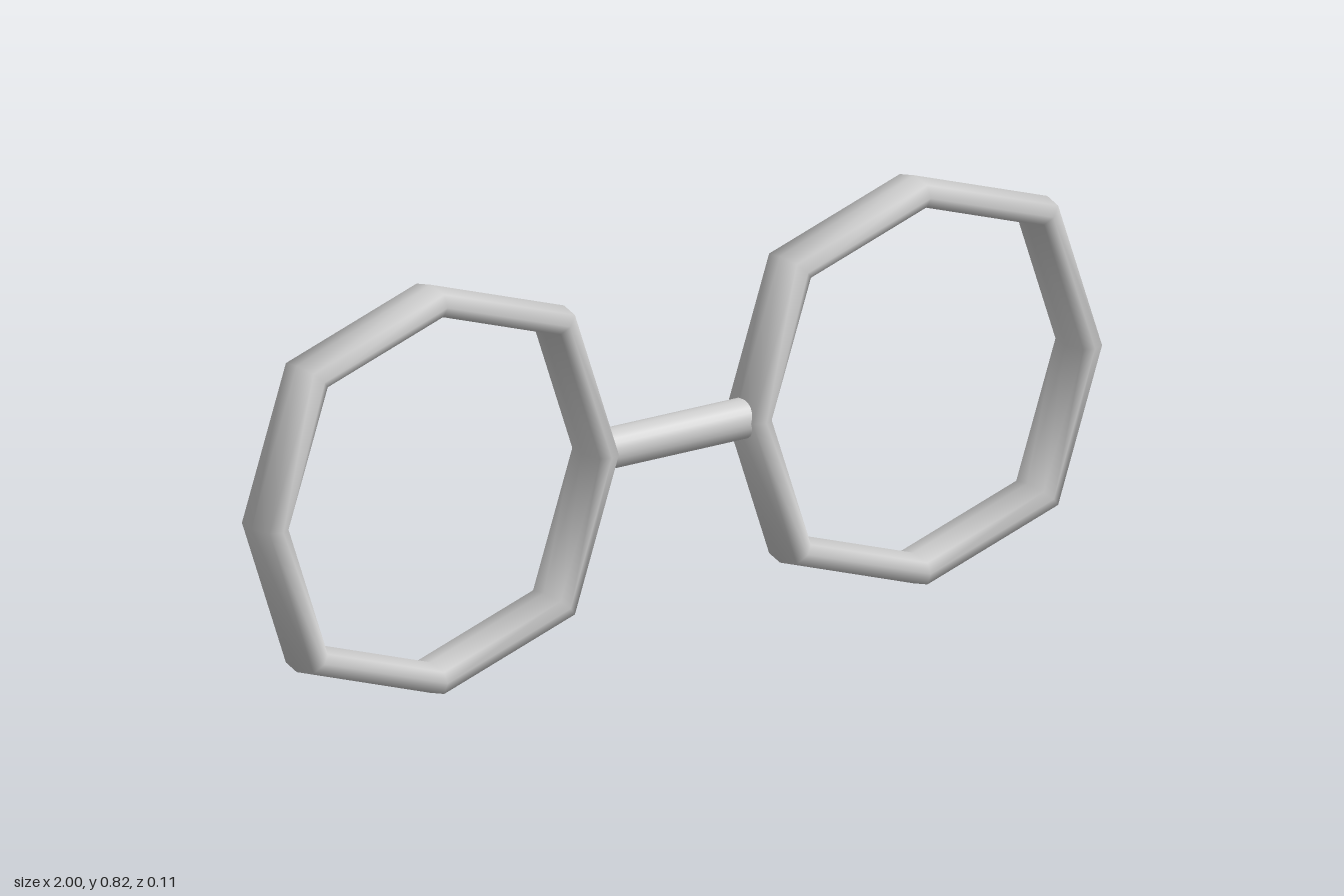
import * as THREE from 'three';

const material = new THREE.MeshStandardMaterial({ color: 0xcccccc });
const CENTER_Y = 0.408;

// Outer corners of the eight-sided rim, and its cross-section as [radial scale, z]
const CORNERS = [
  [0.425, 0], [0.318, 0.306], [0, 0.408], [-0.318, 0.306],
  [-0.425, 0], [-0.318, -0.306], [0, -0.408], [0.318, -0.306],
];
const SECTION = [
  [1, 0], [0.978, 0.044], [0.92, 0.055], [0.872, 0.044],
  [0.85, 0], [0.872, -0.044], [0.92, -0.055], [0.978, -0.044],
];

// Closed loop of cross-sections, smooth shaded
function rimGeometry() {
  const n = CORNERS.length, m = SECTION.length;
  const positions = [], index = [];
  CORNERS.forEach(([x, y], i) => {
    SECTION.forEach(([s, z], j) => {
      positions.push(x * s, y * s, z);
      const i2 = (i + 1) % n, j2 = (j + 1) % m;
      const a = i * m + j, b = i2 * m + j, c = i2 * m + j2, d = i * m + j2;
      index.push(a, b, c, a, c, d);
    });
  });
  const geometry = new THREE.BufferGeometry();
  geometry.setAttribute('position', new THREE.Float32BufferAttribute(positions, 3));
  geometry.setIndex(index);
  geometry.computeVertexNormals();
  return geometry;
}

export function createModel() {
  const group = new THREE.Group();
  group.name = 'spectacles';

  // Two matching rims
  const rim = rimGeometry();
  for (const [name, side] of [['leftRim', 1], ['rightRim', -1]]) {
    const mesh = new THREE.Mesh(rim, material);
    mesh.name = name;
    mesh.position.set(side * 0.575, CENTER_Y, 0);
    group.add(mesh);
  }

  // Round bar joining the rims
  const bridge = new THREE.Mesh(new THREE.CylinderGeometry(0.04, 0.04, 0.36, 24), material);
  bridge.name = 'bridge';
  bridge.rotation.z = Math.PI / 2;
  bridge.position.y = CENTER_Y;
  group.add(bridge);

  return group;
}
